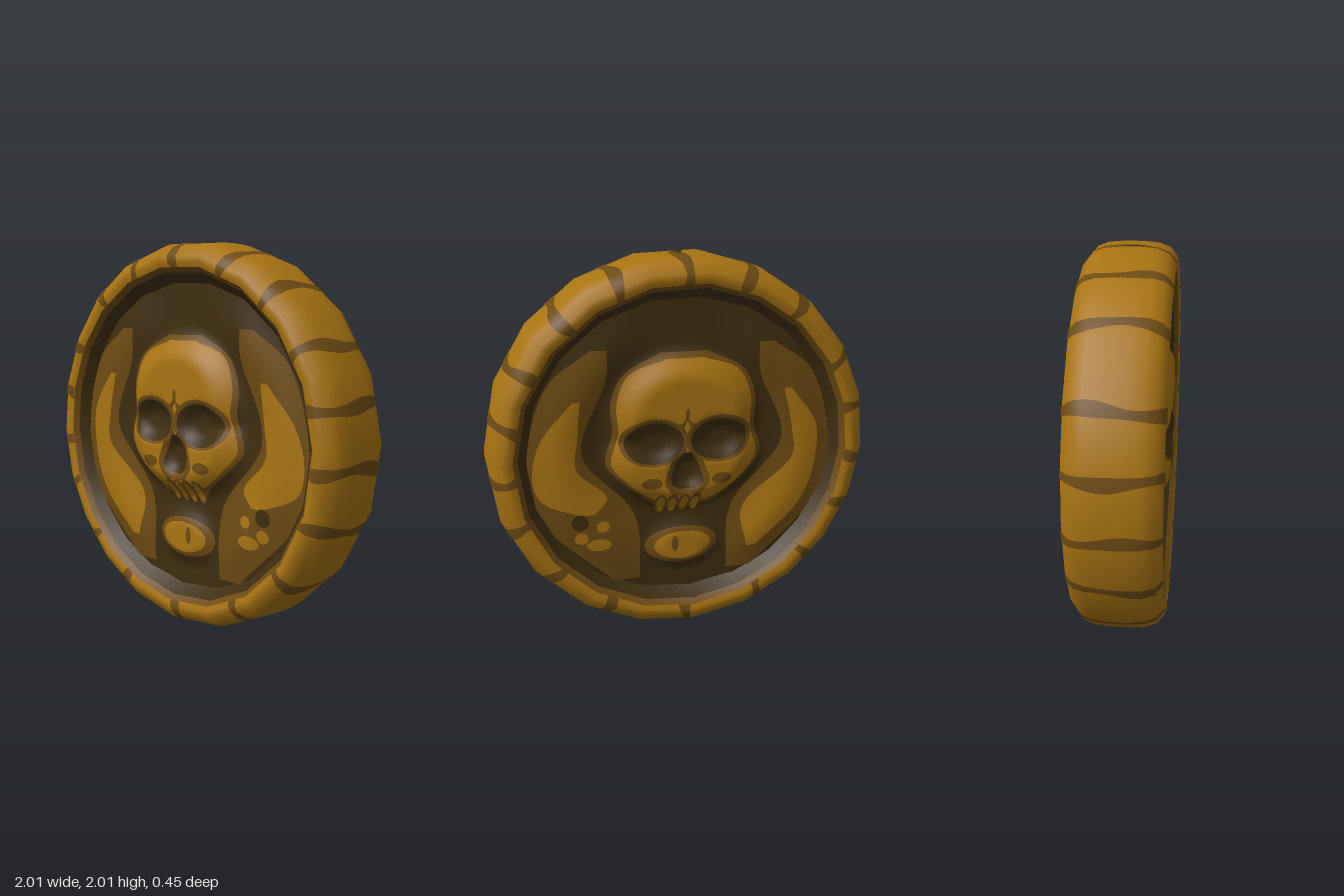
import * as THREE from 'three';

const mat = (name, color) => Object.assign(new THREE.MeshStandardMaterial({ color }), { name });
const gold = mat('gold', 0xa87412);
const brown = mat('brown', 0x6d4b13);
const dark = mat('dark brown', 0x3f2e10);
const CY = 1; // height of the coin's centre
const rad = THREE.MathUtils.degToRad;
const lerp = THREE.MathUtils.lerp;
const smooth = THREE.MathUtils.smoothstep;

// Surface grid: fn(u, v) returns [x, y, z] or [x, y, z, nx, ny, nz]; flip reverses the faces
function grid(name, material, nu, nv, fn, flip = false) {
  const pos = [], nor = [], idx = [];
  for (let j = 0; j <= nv; j++) for (let i = 0; i <= nu; i++) {
    const p = fn(i / nu, j / nv);
    pos.push(p[0], p[1], p[2]);
    if (p.length > 3) nor.push(p[3], p[4], p[5]);
    if (i === nu || j === nv) continue;
    const a = j * (nu + 1) + i, b = a + 1, c = a + nu + 1, d = c + 1;
    if (flip) idx.push(a, b, c, b, d, c);
    else idx.push(a, c, b, b, c, d);
  }
  const g = new THREE.BufferGeometry();
  g.setAttribute('position', new THREE.Float32BufferAttribute(pos, 3));
  g.setIndex(idx);
  if (nor.length) g.setAttribute('normal', new THREE.Float32BufferAttribute(nor, 3));
  else g.computeVertexNormals();
  const mesh = new THREE.Mesh(g, material);
  mesh.name = name;
  return mesh;
}

// Slightly uneven 20-sided outline
const SIDES = 20;
const corner = k => rad(k * 18 + 2 + 5 * Math.sin(rad(k * 18)));
function outline(a) {
  const T = Math.PI * 2;
  a = ((a - corner(0)) % T + T) % T + corner(0);
  let k = 0;
  while (k < SIDES - 1 && corner(k + 1) <= a) k++;
  const a0 = corner(k), a1 = corner(k + 1);
  return Math.cos((a1 - a0) / 2) / Math.cos(a - (a0 + a1) / 2);
}

// Rim profile (radius, z) from the front lip over the edge to the back lip
const half = [[0.875, 0.212], [0.9, 0.222], [0.93, 0.221], [0.975, 0.185], [0.996, 0.13], [1.002, 0.06]];
const profile = [...half, [1.003, 0], ...half.map(([r, z]) => [r, -z]).reverse()];
const LAST = profile.length - 1;
function profileNormal(q) {
  const p = profile[Math.max(q - 1, 0)], n = profile[Math.min(q + 1, LAST)];
  return new THREE.Vector2(p[1] - n[1], n[0] - p[0]).normalize();
}
function rimPoint(a, v, lift) {
  const f = v * LAST, i = Math.min(Math.floor(f), LAST - 1), t = f - i;
  const n = profileNormal(i).lerp(profileNormal(i + 1), t).normalize();
  const r = (lerp(profile[i][0], profile[i + 1][0], t) + n.x * lift) * outline(a);
  const z = lerp(profile[i][1], profile[i + 1][1], t) + n.y * lift;
  const c = Math.cos(a), s = Math.sin(a);
  return [r * c, CY + r * s, z, n.x * c, n.x * s, n.y];
}

// Relief height of a coin face: domed skull and jaw, sunken eyes and nose, raised crescents
function relief(x, y) {
  const dome = (cx, cy, rx, ry, inner) =>
    1 - smooth(Math.hypot((x - cx) / rx, (y - cy) / ry), inner, 1.1);
  const r = Math.hypot(x, y - CY);
  let h = 0.125 + 0.035 * Math.exp(-(((r - 0.64) / 0.14) ** 2)) * smooth(Math.abs(x), 0.12, 0.45);
  h += 0.085 * Math.max(dome(0, 1.18, 0.4, 0.36, 0.6), dome(0, 0.98, 0.42, 0.29, 0.6));
  h += 0.04 * dome(0.01, 0.47, 0.22, 0.16, 0.4);
  h -= 0.05 * dome(Math.sign(x) * 0.17, 1.08, 0.16, 0.12, 0.3);
  return h - 0.045 * dome(0, 0.91, 0.1, 0.12, 0.3);
}

// Painted outlines are rows of [y, low x, high x] from top to bottom
const ellipse = (cx, cy, rx, ry) => Array.from({ length: 9 }, (_, i) => {
  const t = i * Math.PI / 8, w = rx * Math.sin(t);
  return [cy + ry * Math.cos(t), cx - w, cx + w];
});
const symmetric = pairs => pairs.map(([y, w]) => [y, -w, w]);
const mirror = rows => rows.map(([y, l, r]) => [y, -r, -l]);
const grow = (rows, d) => rows.map(([y, l, r], i) =>
  [y + (i === 0 ? d : i === rows.length - 1 ? -d : 0), l - d, r + d]);

const skullRows = symmetric([[1.5, 0.09], [1.42, 0.29], [1.28, 0.35], [1.13, 0.345],
  [0.97, 0.385], [0.87, 0.31], [0.77, 0.19], [0.73, 0.12]]);
const noseRows = symmetric([[1.02, 0.02], [0.95, 0.06], [0.86, 0.085], [0.82, 0.04]]);
const browRows = symmetric([[1.25, 0.01], [1.19, 0.015], [1.16, 0.07], [1.11, 0.05]]);
const crescent = [[1.56, 0.39, 0.47], [1.4, 0.4, 0.68], [1.03, 0.53, 0.8], [0.68, 0.27, 0.75], [0.29, 0.24, 0.38]];
const leftField = [[1.31, 0.53, 0.57], [1.12, 0.55, 0.73], [0.95, 0.56, 0.78], [0.79, 0.41, 0.74], [0.7, 0.47, 0.54]];
const rightField = [[1.31, -0.57, -0.53], [1.1, -0.72, -0.58], [0.93, -0.73, -0.59], [0.66, -0.65, -0.33], [0.42, -0.4, -0.35]];

// One coin face; s = 1 front, s = -1 back
function coinFace(s) {
  const face = new THREE.Group();
  face.name = s > 0 ? 'frontFace' : 'backFace';
  const flip = s < 0;
  face.add(grid('field', dark, 100, 48, (u, v) => {
    const a = u * Math.PI * 2, r = 0.002 + 0.818 * v;
    const x = r * Math.cos(a), y = CY + r * Math.sin(a);
    return [x, y, s * relief(x, y)];
  }, flip));

  // Thin painted patch that follows the relief
  const paint = (name, material, layer, rows) => {
    const curve = new THREE.CatmullRomCurve3(rows.map(([y, l, r]) => new THREE.Vector3(l, r, y)));
    const width = Math.max(...rows.map(r => r[2] - r[1]));
    const height = rows[0][0] - rows[rows.length - 1][0];
    const nu = Math.max(8, Math.ceil(width / 0.02)), nv = Math.max(16, Math.ceil(height / 0.02));
    face.add(grid(name, material, nu, nv, (u, v) => {
      const p = curve.getPoint(v), x = lerp(p.x, p.y, u);
      return [x, p.z, s * (relief(x, p.z) + layer * 0.004)];
    }, flip));
  };

  // Crescents beside the skull
  paint('leftCrescentBorder', brown, 1, crescent);
  paint('rightCrescentBorder', brown, 1, mirror(crescent));
  paint('leftCrescent', gold, 2, leftField);
  paint('rightCrescent', gold, 2, rightField);
  paint('pit', dark, 3, ellipse(0.555, 0.665, 0.045, 0.045));
  paint('fleck', gold, 2, ellipse(0.435, 0.625, 0.035, 0.03));
  paint('fleck', gold, 2, ellipse(0.46, 0.525, 0.065, 0.035));
  paint('fleck', gold, 2, ellipse(0.55, 0.57, 0.035, 0.035));

  // Skull
  paint('skullBorder', brown, 1, grow(skullRows, 0.028));
  paint('skull', gold, 2, skullRows);
  paint('brow', brown, 3, browRows);
  paint('noseBorder', brown, 3, grow(noseRows, 0.032));
  paint('nose', dark, 4, noseRows);
  for (const side of [-1, 1]) {
    paint('eyeBorder', brown, 3, ellipse(side * 0.17, 1.085, 0.178, 0.128));
    paint('eyeSocket', dark, 4, ellipse(side * 0.17, 1.08, 0.152, 0.11));
    paint('cheekHollow', brown, 3, ellipse(side * 0.185, 0.865, 0.055, 0.03));
  }
  for (let i = 0; i < 4; i++) {
    const x = -0.05 + i * 0.06;
    paint('toothBorder', brown, 3, ellipse(x, 0.73, 0.032, 0.065));
    paint('tooth', gold, 4, ellipse(x, 0.72 + 0.01 * (i % 2), 0.021, 0.05));
  }

  // Jaw
  paint('jawBorder', brown, 1, ellipse(0.015, 0.475, 0.2, 0.105));
  paint('jaw', gold, 2, ellipse(0.01, 0.475, 0.155, 0.08));
  paint('jawGap', brown, 3, ellipse(0.055, 0.49, 0.018, 0.045));

  // Sloping inner wall and the lip above it
  const ring = (name, material, r0, z0, r1, z1) => face.add(grid(name, material, SIDES, 1, (u, v) => {
    const a = corner(Math.round(u * SIDES)), r = lerp(r0, r1, v);
    return [r * Math.cos(a), CY + r * Math.sin(a), s * lerp(z0, z1, v)];
  }, flip));
  ring('innerWall', dark, 0.79, 0.115, 0.85, 0.185);
  ring('lip', brown, 0.85, 0.185, 0.875, 0.212);
  return face;
}

export function createModel() {
  const coin = new THREE.Group();
  coin.name = 'coin';
  coin.add(grid('rim', gold, SIDES, LAST, (u, v) => rimPoint(corner(Math.round(u * SIDES)), v, 0)));
  // Grooves painted across the rim
  const grooves = [90, 69, 50, 30, 13, -4, -21, -41, -62, -90, -116, -136, -158, -175, -192, -209, -232, -250];
  grooves.forEach((deg, k) => {
    coin.add(grid('groove', brown, 6, LAST * 2, (u, v) => {
      const mid = rad(deg) + 0.014 * Math.sin(v * 9 + k * 2);
      const w = 0.029 + 0.008 * Math.sin(v * 13 + k * 5);
      return rimPoint(mid + (u * 2 - 1) * w, v, 0.004);
    }));
  });
  // Deep notches in the top and bottom grooves
  for (const deg of [90, -90]) {
    coin.add(grid('notch', dark, 4, 12, (u, v) =>
      rimPoint(rad(deg) + (u * 2 - 1) * 0.022 * Math.sin(Math.PI * v), 0.37 + 0.22 * v, 0.008)));
  }
  coin.add(coinFace(1), coinFace(-1));
  return coin;
}
